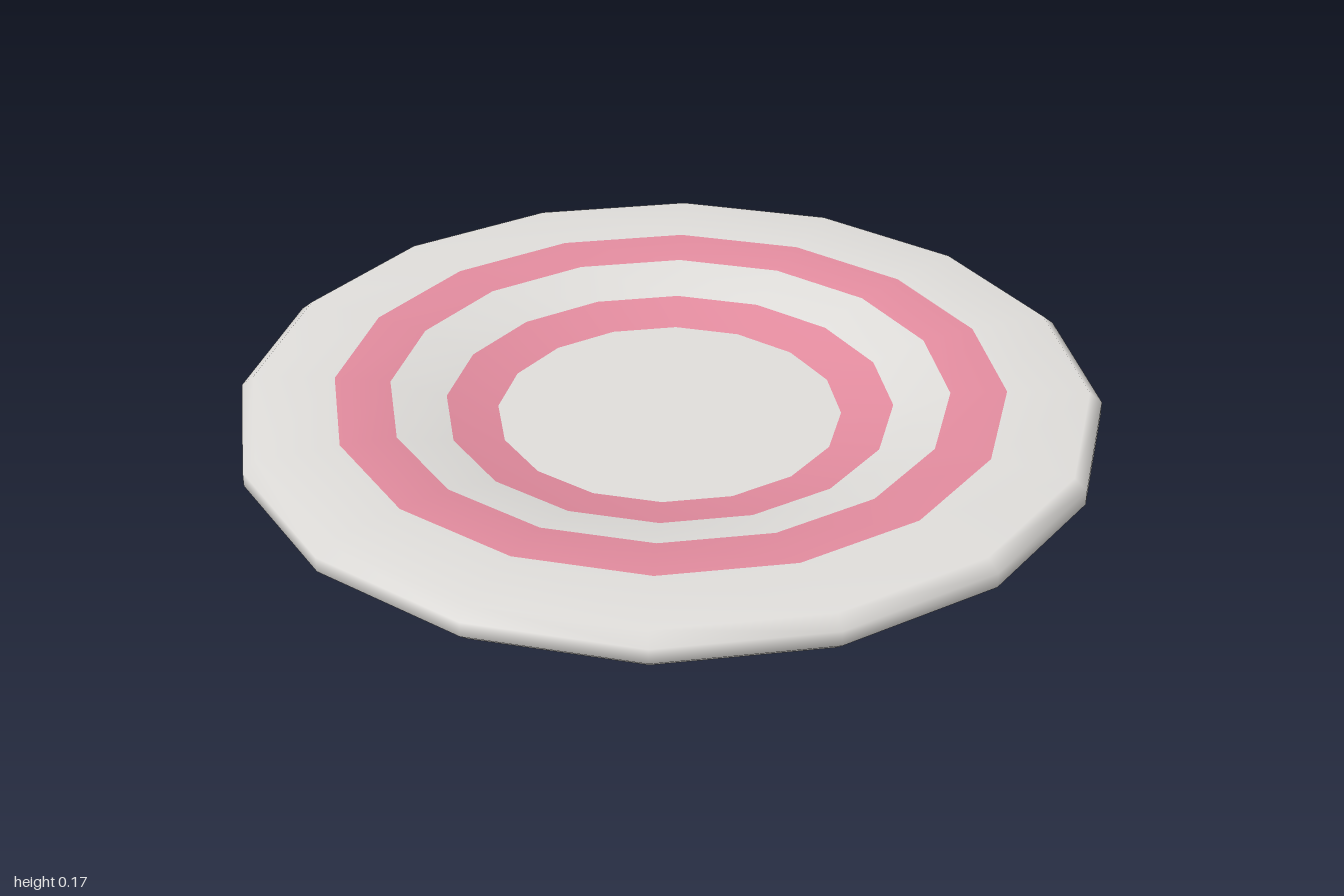
import * as THREE from 'three';

const SIDES = 16;

// Half-section [radius, height] from the centre of the foot, around the rim, to the centre of the well
const PROFILE = [
  [0, 0], [0.485, 0],                                             // foot base
  [0.485, 0], [0.51, 0.025], [0.51, 0.075], [0.525, 0.09],        // foot wall
  [0.97, 0.09], [1, 0.115], [1, 0.15], [0.97, 0.175],             // underside and rim
  [0.78, 0.174], [0.65, 0.167], [0.52, 0.132], [0.4, 0.108],      // dished top
  [0.4, 0.108], [0, 0.108],                                       // flat well
];

export function createModel() {
  const group = new THREE.Group();
  const china = new THREE.MeshStandardMaterial({ color: 0xe0dedb });
  china.name = 'off-white china';
  const pink = new THREE.MeshStandardMaterial({ color: 0xe38c9f });
  pink.name = 'pink glaze';

  // One smooth lathe; each part takes its own bands so shading runs on across the colours
  const lathe = new THREE.LatheGeometry(PROFILE.map(([r, y]) => new THREE.Vector2(r, y)), SIDES);
  const rows = PROFILE.length;

  function addBands(name, first, last, material) {
    const index = [];
    for (let i = 0; i < SIDES; i++) {
      for (let j = first; j < last; j++) {
        const a = i * rows + j, b = a + rows;
        if (PROFILE[j][0] > 0) index.push(a, b, a + 1);
        if (PROFILE[j + 1][0] > 0) index.push(b + 1, a + 1, b);
      }
    }
    const geometry = lathe.clone();
    geometry.setIndex(index);
    const mesh = new THREE.Mesh(geometry, material);
    mesh.name = name;
    group.add(mesh);
  }

  addBands('footBase', 0, 1, china);
  addBands('footWall', 2, 5, china);
  addBands('underside', 5, 6, china);
  addBands('rim', 6, 10, china);
  addBands('outerStripe', 10, 11, pink);
  addBands('middleBand', 11, 12, china);
  addBands('innerStripe', 12, 13, pink);
  addBands('well', 14, 15, china);

  group.name = 'plate';
  return group;
}
